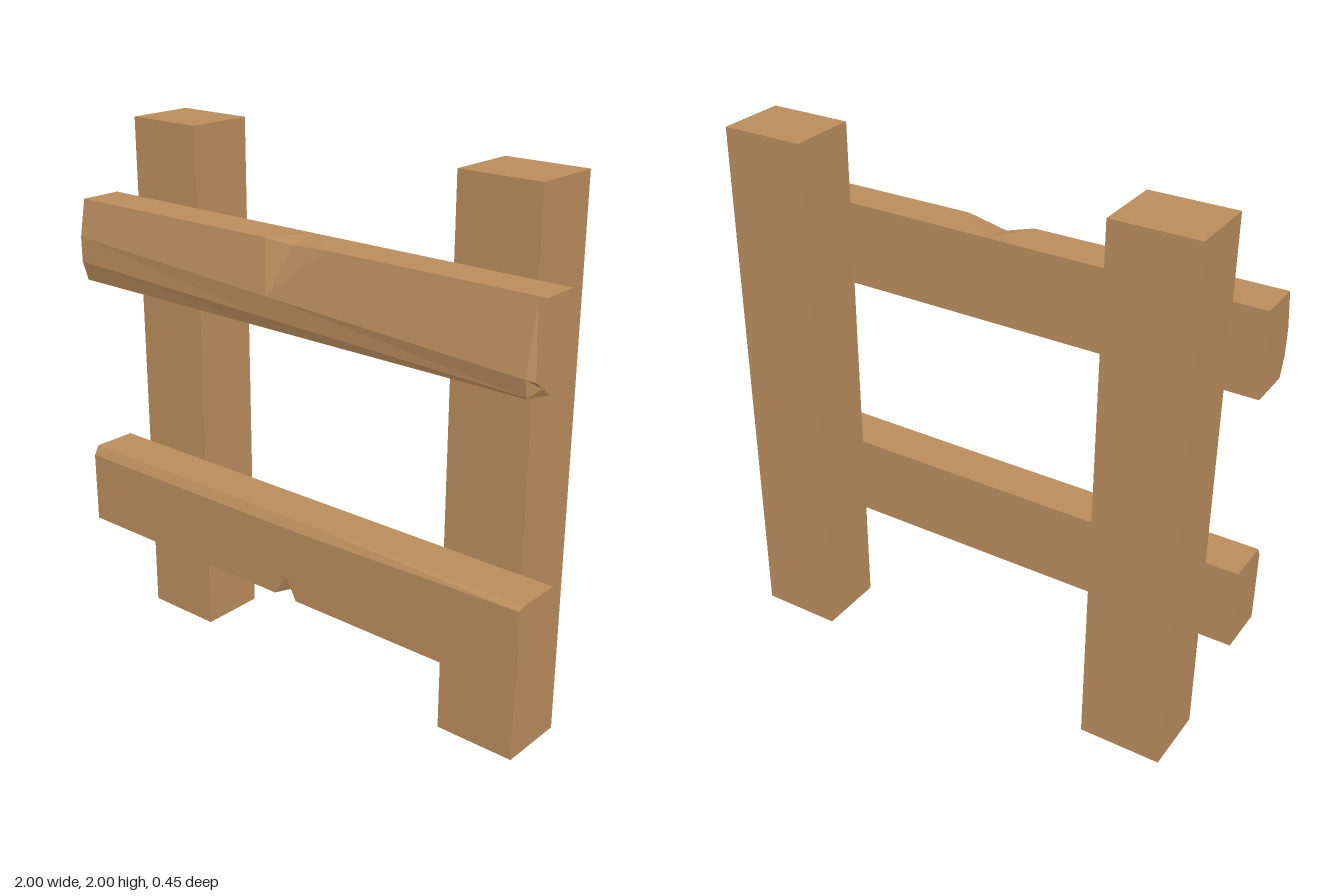
import * as THREE from 'three';

const wood = new THREE.MeshStandardMaterial({ color: 0xb98c5c, flatShading: true });

// Joins rings of [x, y, z] corners, running from -x to +x, into a capped solid
function loft(rings) {
  const pos = [];
  const tri = (a, b, c) => {
    const [p, q, r] = [a, b, c].map((v) => new THREE.Vector3(...v));
    if (q.clone().sub(p).cross(r.clone().sub(p)).length() > 1e-7) pos.push(...a, ...b, ...c);
  };
  const n = rings[0].length;
  for (let i = 0; i < rings.length - 1; i++) {
    const a = rings[i], b = rings[i + 1];
    for (let j = 0; j < n; j++) {
      const k = (j + 1) % n;
      tri(a[j], a[k], b[k]);
      tri(a[j], b[k], b[j]);
    }
  }
  const first = rings[0], last = rings[rings.length - 1];
  for (let j = 1; j < n - 1; j++) {
    tri(last[0], last[j], last[j + 1]);
    tri(first[0], first[j + 1], first[j]);
  }
  const geo = new THREE.BufferGeometry();
  geo.setAttribute('position', new THREE.Float32BufferAttribute(pos, 3));
  geo.computeVertexNormals();
  return geo;
}

// Upper rail: rounded worn front with a split in the top edge and a chipped end
function upperRail() {
  const lo = 1.395, hi = 1.705, back = 0.035;
  const lerp = THREE.MathUtils.lerp;
  const ring = (x, o = {}) => {
    const t = (x + 1) / 2;
    return [
      [x, lo, back],
      o.back ?? [x, hi, back],
      o.top ?? [x, hi, lerp(0.197, 0.175, t)],
      o.ridge ?? [x, lerp(1.565, 1.46, t), 0.223],
      o.low ?? [x, lerp(1.47, 1.4, t), lerp(0.223, 0.21, t)],
      o.bottom ?? [x, lo, lerp(0.2, 0.205, t)],
    ];
  };
  // the split's two tips are shared by its three rings
  const tips = { back: [0, hi, back], ridge: [-0.06, 1.515, 0.223] };
  return loft([
    ring(-1),
    ring(-0.09, tips),
    ring(0, { ...tips, top: [0, 1.688, 0.155] }),
    ring(0.17, tips),
    ring(0.97),
    ring(1, { ridge: [1, 1.455, 0.21], low: [1, 1.425, 0.17], bottom: [1, lo, 0.13] }),
  ]);
}

// Lower rail: bevelled top edge and a small nick in the bottom edge
function lowerRail() {
  const lo = 0.405, hi = 0.715, back = 0.035, front = 0.225;
  const ring = (x, o = {}) => [
    [x, lo, back],
    [x, hi, back],
    [x, hi, 0.205],
    [x, x < 0.08 ? 0.68 : 0.68 + (x - 0.08) * 0.025, front],
    o.front ?? [x, 0.49, front],
    o.corner ?? [x, lo, front],
    o.under ?? [x, lo, 0.1],
  ];
  const tips = { front: [0.02, 0.49, front], under: [0.02, lo, 0.1] };
  return loft([
    ring(-1),
    ring(-0.035, tips),
    ring(0.02, { ...tips, corner: [0.02, 0.425, 0.185] }),
    ring(0.065, tips),
    ring(0.08),
    ring(1),
  ]);
}

export function createModel() {
  const group = new THREE.Group();
  group.name = 'fence';
  const add = (name, geo) => {
    const mesh = new THREE.Mesh(geo, wood);
    mesh.name = name;
    group.add(mesh);
    return mesh;
  };

  // Square posts
  for (const [name, side] of [['leftPost', 1], ['rightPost', -1]]) {
    add(name, new THREE.BoxGeometry(0.31, 2, 0.26)).position.set(side * 0.725, 1, -0.095);
  }

  // Rails across the front
  add('upperRail', upperRail());
  add('lowerRail', lowerRail());
  return group;
}
